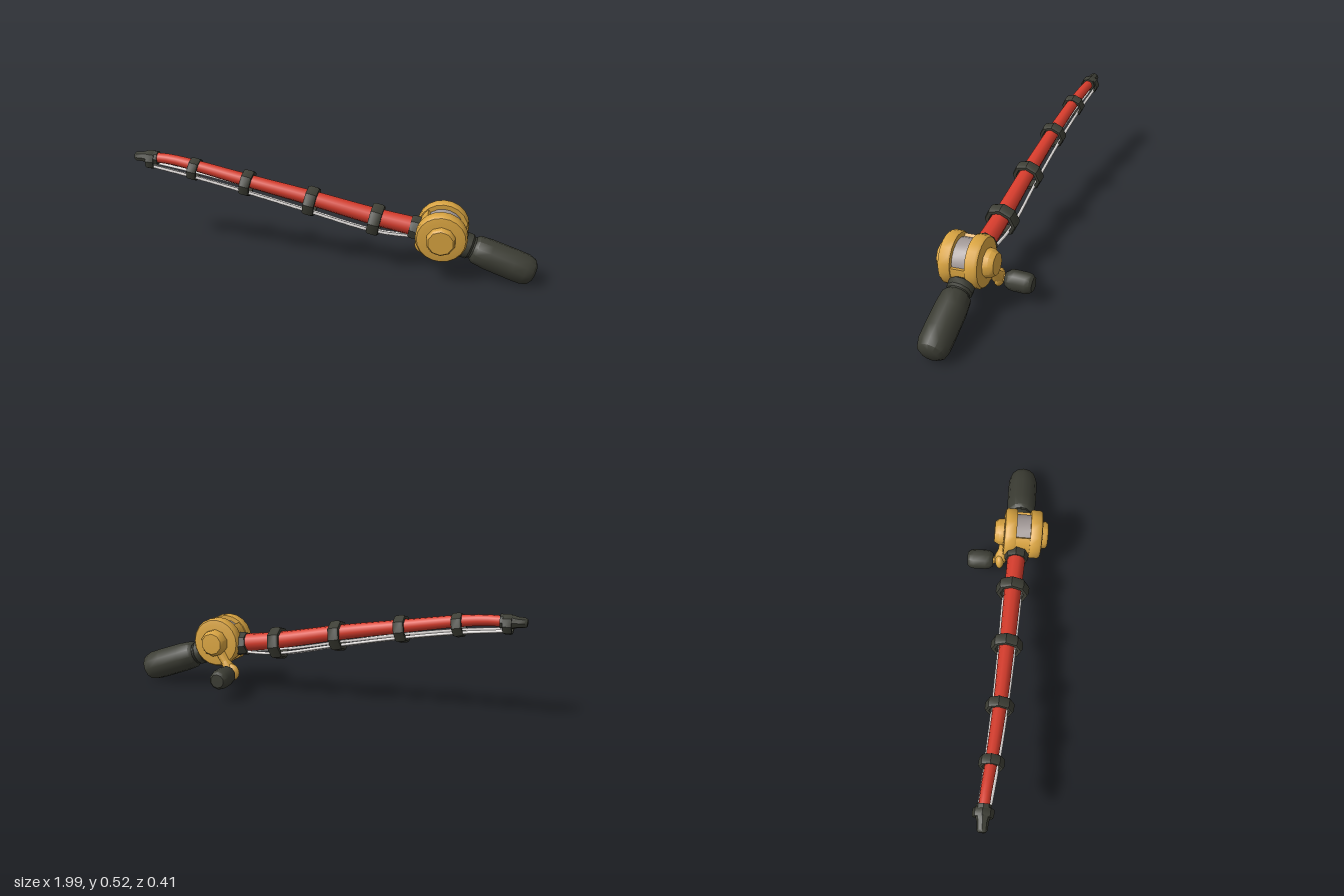
import * as THREE from 'three';
import { toCreasedNormals } from 'three/addons/utils/BufferGeometryUtils.js';

const mat = (name, color) => {
  const m = new THREE.MeshStandardMaterial({ color });
  m.name = name;
  return m;
};
const V = (x, y, z) => new THREE.Vector3(x, y, z);
const UP = V(0, 1, 0);

export function createModel() {
  const red = mat('red', 0xd63c2c);
  const dark = mat('charcoal', 0x3c3d34);
  const gold = mat('gold', 0xd9a441);
  const grey = mat('spool grey', 0xa39a98);
  const white = mat('line white', 0xdcd8d6);
  const model = new THREE.Group();
  model.name = 'fishingRod';

  function add(parent, name, geo, material) {
    const mesh = new THREE.Mesh(geo, material);
    mesh.name = name;
    parent.add(mesh);
    return mesh;
  }

  // Turned part: profile of [radius, distance] along a direction from a point
  function turned(parent, name, from, dir, profile, sides, material) {
    const pts = profile.map(([r, t]) => new THREE.Vector2(r, t));
    const geo = toCreasedNormals(new THREE.LatheGeometry(pts, sides), 0.7);
    const mesh = add(parent, name, geo, material);
    mesh.position.copy(from);
    mesh.quaternion.setFromUnitVectors(UP, dir.clone().normalize());
    return mesh;
  }

  // Tapered blank, slightly bent towards the tip
  const path = new THREE.CatmullRomCurve3([
    V(0.46, 0.257, 0.053), V(0.215, 0.298, 0.042), V(-0.1, 0.366, 0.03),
    V(-0.42, 0.428, 0.014), V(-0.69, 0.48, -0.008), V(-0.82, 0.498, -0.022), V(-0.93, 0.5, -0.03),
  ]);
  const blank = new THREE.TubeGeometry(path, 28, 1, 10);
  const p = blank.attributes.position;
  for (let i = 0; i <= 28; i++) {
    const c = path.getPointAt(i / 28);
    const r = 0.046 - 0.022 * (i / 28);
    for (let j = 0; j <= 10; j++) {
      const k = i * 11 + j;
      const q = V(p.getX(k), p.getY(k), p.getZ(k)).sub(c).multiplyScalar(r).add(c);
      p.setXYZ(k, q.x, q.y, q.z);
    }
  }
  add(model, 'rodBlank', blank, red);

  // Guide rings: centre, outer radius, width
  const guides = [
    [0.215, 0.283, 0.04, 0.082, 0.056], [-0.1, 0.35, 0.029, 0.076, 0.054],
    [-0.42, 0.415, 0.013, 0.067, 0.05], [-0.69, 0.461, -0.007, 0.058, 0.046],
    [-0.915, 0.488, -0.029, 0.048, 0.04],
  ];
  guides.forEach(([x, y, z, r, w], i) => {
    const dir = i === 4 ? V(-1, 0.05, -0.05) : V(-1, 0.19, -0.06);
    const h = w / 2, n = r * 0.72, b = r * 0.93;
    turned(model, 'guideRing', V(x, y, z), dir,
      [[n, -h], [b, -h], [r, -h * 0.6], [r, h * 0.6], [b, h], [n, h], [n, -h]], 8, dark);
  });

  // Tip cap and collar in front of the reel
  turned(model, 'tipCap', V(-0.88, 0.5, -0.028), V(-1, 0.005, -0.01),
    [[0, 0], [0.034, 0], [0.034, 0.05], [0.026, 0.075], [0.024, 0.11], [0.016, 0.12], [0, 0.12]], 8, dark);
  turned(model, 'collar', V(0.45, 0.253, 0.052), V(-1, 0.19, -0.05),
    [[0, 0], [0.058, 0], [0.06, 0.055], [0.055, 0.07], [0, 0.07]], 8, dark);

  // Fishing line: three strands along the bottom of the rings
  for (const s of [-1, 0, 1]) {
    const strand = new THREE.CatmullRomCurve3([
      V(0.44, 0.222, 0.053 + s * 0.02),
      ...guides.map(([x, y, z, r]) =>
        V(x, y - r * (s ? 0.52 : 0.68), z + s * r * 0.5)),
    ]);
    add(model, 'lineStrand', new THREE.TubeGeometry(strand, 24, 0.0075, 6), white);
  }

  // Grip and its neck
  const gripDir = V(0.94, -0.34, 0.005);
  turned(model, 'gripNeck', V(0.59, 0.215, 0.06), gripDir,
    [[0, 0], [0.05, 0], [0.05, 0.04], [0.062, 0.05], [0.062, 0.08], [0.053, 0.09], [0.053, 0.13], [0, 0.13]], 10, dark);
  turned(model, 'grip', V(0.682, 0.181, 0.06), gripDir,
    [[0, 0], [0.055, 0], [0.068, 0.015], [0.074, 0.08], [0.075, 0.2], [0.074, 0.26],
      [0.064, 0.295], [0.042, 0.31], [0, 0.312]], 12, dark);

  // Reel: two side plates with hubs, open frame and spool
  const reel = new THREE.Group();
  reel.name = 'reel';
  reel.position.set(0.535, 0.265, 0.075);
  reel.rotation.x = 0.06;
  model.add(reel);
  for (const s of [1, -1]) {
    const side = s > 0 ? 'front' : 'back';
    turned(reel, side + 'SidePlate', V(0, 0, s * 0.035), V(0, 0, s),
      [[0, 0], [0.118, 0], [0.122, 0.008], [0.122, 0.045], [0.114, 0.057], [0.09, 0.061], [0, 0.061]], 20, gold);
    turned(reel, side + 'Hub', V(0, 0, s * 0.09), V(0, 0, s),
      s > 0 ? [[0, 0], [0.07, 0], [0.068, 0.028], [0.06, 0.036], [0, 0.036]]
        : [[0, 0], [0.068, 0], [0.066, 0.03], [0.052, 0.052], [0, 0.054]], 10, gold);
  }
  turned(reel, 'spool', V(0, 0, -0.038), UP.clone().set(0, 0, 1),
    [[0, 0], [0.096, 0], [0.096, 0.076], [0, 0.076]], 20, grey);
  const a0 = 2.25, a1 = Math.PI * 2 + 0.15;
  const arc = new THREE.Shape();
  arc.absarc(0, 0, 0.112, a0, a1, false);
  arc.absarc(0, 0, 0.085, a1, a0, true);
  const frame = new THREE.ExtrudeGeometry(arc, { depth: 0.08, bevelEnabled: false, curveSegments: 18 });
  frame.translate(0, 0, -0.04);
  add(reel, 'reelFrame', toCreasedNormals(frame, 0.7), gold);

  // Crank arm, boss, stem and knob on the back
  const armFrom = V(0.515, 0.235, -0.012), armTo = V(0.443, 0.125, -0.035);
  const armDir = armTo.clone().sub(armFrom);
  const L = armDir.length();
  turned(model, 'crankArm', armFrom, armDir,
    [[0, 0], [0.028, 0], [0.022, L * 0.5], [0.032, L * 0.8], [0.03, L], [0, L + 0.012]], 10, gold);
  const boss = add(model, 'crankBoss', new THREE.SphereGeometry(0.044, 12, 8), gold);
  boss.position.set(0.442, 0.13, -0.037);
  boss.scale.z = 0.55;
  turned(model, 'knobStem', V(0.442, 0.13, -0.04), V(0, 0, -1),
    [[0, 0], [0.028, 0], [0.018, 0.02], [0.024, 0.04], [0, 0.04]], 8, gold);
  turned(model, 'crankKnob', V(0.442, 0.13, -0.07), V(0, 0, -1),
    [[0, 0], [0.034, 0], [0.047, 0.018], [0.05, 0.04], [0.05, 0.1], [0.045, 0.12], [0.034, 0.132], [0, 0.133]], 10, dark);

  return model;
}
